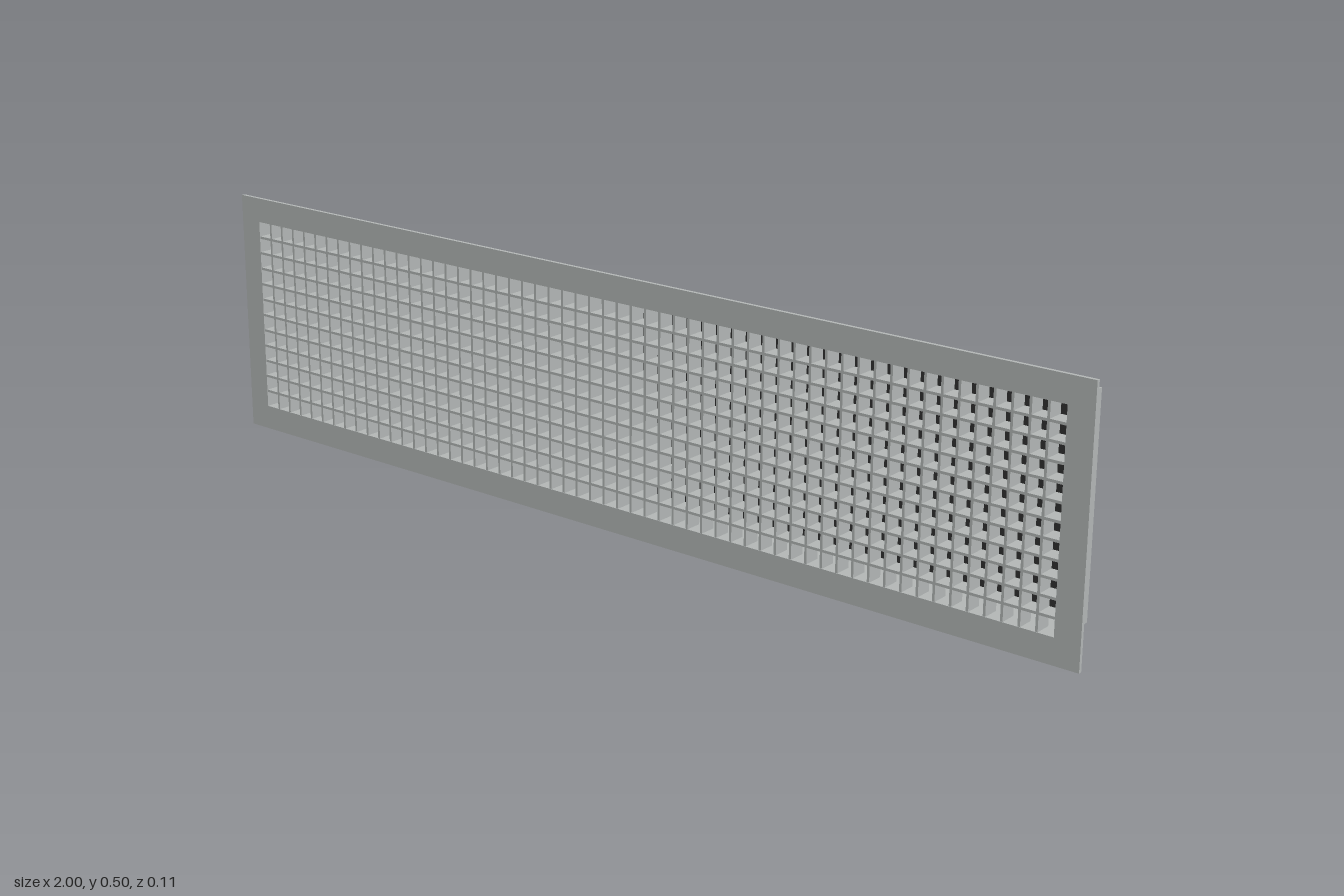
import * as THREE from 'three';

const grey = new THREE.MeshStandardMaterial({ color: 0xb5b9b8 });
grey.name = 'grey metal';
const black = new THREE.MeshStandardMaterial({ color: 0x303030 });
black.name = 'matte black';

// Overall layout
const CENTER_Y = 0.25;
const OPEN_W = 1.9, OPEN_H = 0.4;
const COLS = 57, ROWS = 12;
const BLADE = 0.005, BLADE_DEPTH = 0.034, FRONT_Z = 0.052;

// Rectangular ring with the grille opening cut out, extruded from z0 to z1
function ring(name, w, h, z0, z1) {
  const rect = (P, a, b) => new P([
    new THREE.Vector2(-a / 2, -b / 2), new THREE.Vector2(a / 2, -b / 2),
    new THREE.Vector2(a / 2, b / 2), new THREE.Vector2(-a / 2, b / 2),
  ]);
  const shape = rect(THREE.Shape, w, h);
  shape.holes.push(rect(THREE.Path, OPEN_W, OPEN_H));
  const geo = new THREE.ExtrudeGeometry(shape, { depth: z1 - z0, bevelEnabled: false });
  const mesh = new THREE.Mesh(geo, grey);
  mesh.name = name;
  mesh.position.set(0, CENTER_Y, z0);
  return mesh;
}

function box(name, material, w, h, d, x, y, z) {
  const mesh = new THREE.Mesh(new THREE.BoxGeometry(w, h, d), material);
  mesh.name = name;
  mesh.position.set(x, y, z);
  return mesh;
}

export function createModel() {
  const model = new THREE.Group();
  model.name = 'ventGrille';

  // Flat front flange and the sleeve behind it
  model.add(ring('frontFlange', 2, 0.5, 0.046, 0.053));
  model.add(ring('sleeve', 1.91, 0.41, -0.047, 0.046));

  // Square-celled core
  const core = new THREE.Group();
  core.name = 'gridCore';
  const z = FRONT_Z - BLADE_DEPTH / 2;
  for (let i = 1; i < COLS; i++) {
    const x = -OPEN_W / 2 + (i * OPEN_W) / COLS;
    core.add(box('verticalBlade', grey, BLADE, OPEN_H, BLADE_DEPTH, x, CENTER_Y, z));
  }
  for (let j = 1; j < ROWS; j++) {
    const y = CENTER_Y - OPEN_H / 2 + (j * OPEN_H) / ROWS;
    core.add(box('horizontalBlade', grey, OPEN_W, BLADE, BLADE_DEPTH, 0, y, z));
  }
  model.add(core);

  // Dark plate closing the back
  model.add(box('backPlate', black, OPEN_W, OPEN_H, 0.003, 0, CENTER_Y, -0.0505));
  return model;
}
